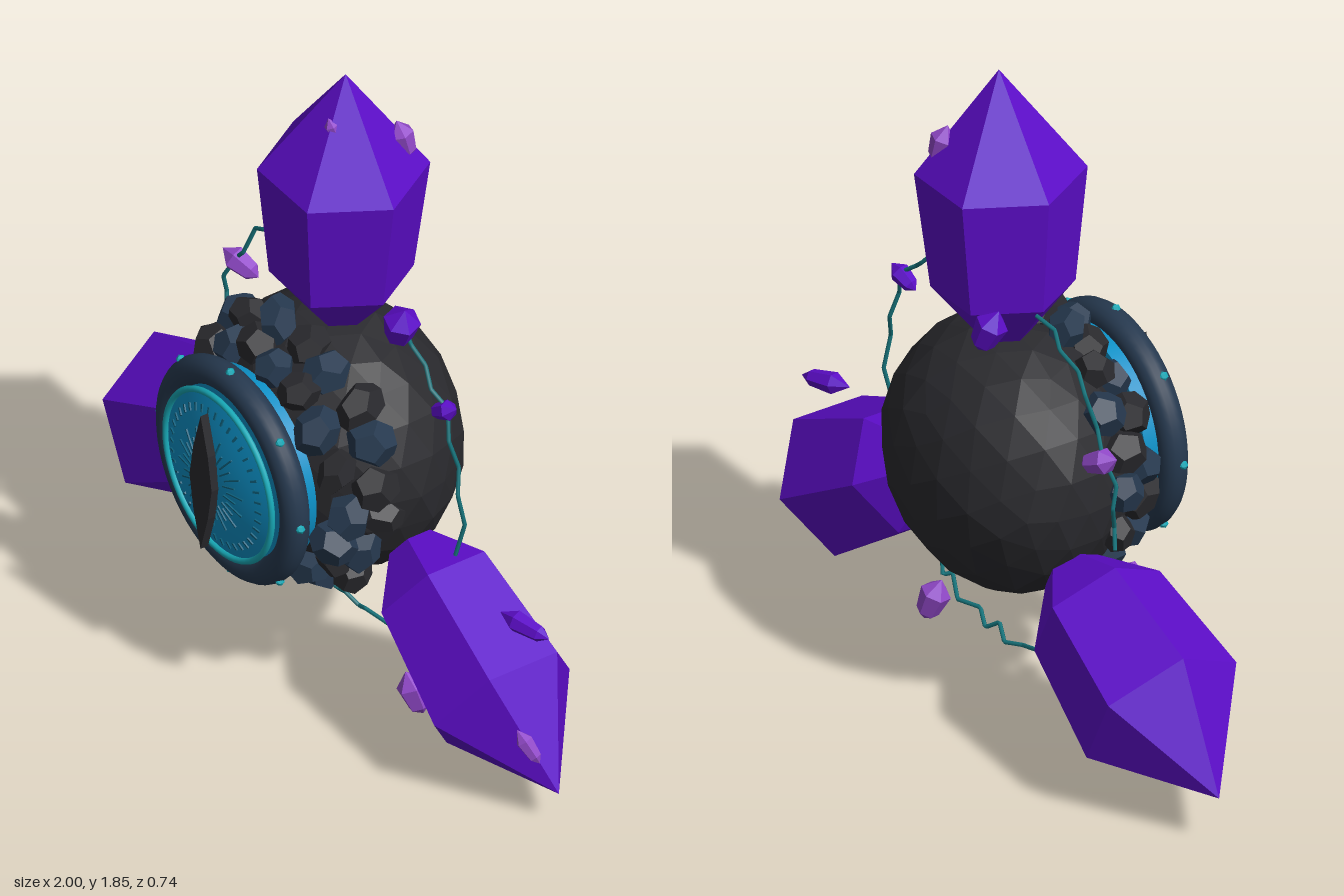
import * as THREE from 'three';

const material = (name, color) => Object.assign(new THREE.MeshStandardMaterial({ color }), { name });

// Seeded random numbers for the rubble
let seed = 7;
const rand = (a, b) => {
  seed = (seed * 16807) % 2147483647;
  return a + (b - a) * (seed / 2147483647);
};

// Faceted normals
function flat(geometry) {
  const g = geometry.index ? geometry.toNonIndexed() : geometry;
  g.computeVertexNormals();
  return g;
}

// Profile given as [radius, y] pairs from bottom to top
const lathe = (points, sides) =>
  new THREE.LatheGeometry(points.map(([r, y]) => new THREE.Vector2(r, y)), sides);

export function createModel() {
  const model = new THREE.Group();
  model.name = 'crystalEyeOrb';

  const stone = material('darkStone', 0x2a2a2e);
  const navy = material('navyMetal', 0x26394f);
  const blue = material('irisBlue', 0x0c90c6);
  const cyan = material('cyanTrim', 0x18aab8);
  const tickTeal = material('irisMarks', 0x0d607c);
  const arcTeal = material('arcTeal', 0x17777f);
  const purple = material('purpleCrystal', 0x5c0dc8);
  const lilac = material('lilacCrystal', 0x9149c9);

  const add = (name, geometry, mat, parent = model) => {
    const mesh = new THREE.Mesh(geometry, mat);
    mesh.name = name;
    parent.add(mesh);
    return mesh;
  };

  // Faceted stone core
  const core = new THREE.IcosahedronGeometry(1, 3);
  const p = core.attributes.position;
  for (let i = 0; i < p.count; i++) {
    const x = p.getX(i), y = p.getY(i), z = p.getZ(i);
    const k = 1 + 0.018 * Math.sin(9 * x + 4 * y) * Math.cos(8 * y - 7 * z);
    p.setXYZ(i, x * k * 0.385, y * k * 0.38, z * k * 0.307);
  }
  add('core', flat(core), stone).position.set(0.005, 0.71, -0.065);

  // Rubble collar around the front half
  const rubble = new THREE.Group();
  rubble.name = 'rubbleCollar';
  model.add(rubble);
  const collar = [
    { count: 17, radius: 0.305, z: 0.14, size: 0.068 },
    { count: 19, radius: 0.35, z: 0.06, size: 0.07 },
  ];
  collar.forEach(({ count, radius, z, size }, row) => {
    for (let i = 0; i < count; i++) {
      const a = ((i + row * 0.5) / count) * Math.PI * 2 + rand(-0.06, 0.06);
      const r = radius + rand(-0.015, 0.02);
      const isNavy = (i + row) % 2 === 0;
      const rock = add('rock', flat(new THREE.DodecahedronGeometry(size)), isNavy ? navy : stone, rubble);
      rock.position.set(0.01 + r * Math.cos(a), 0.71 + r * Math.sin(a), z + rand(-0.03, 0.02));
      rock.rotation.set(rand(0, 3), rand(0, 3), rand(0, 3));
      rock.scale.set(rand(0.8, 1.1), rand(0.75, 1.1), rand(0.7, 1));
    }
  });

  // Eye: housing, rim, lens and trim
  const eye = new THREE.Group();
  eye.name = 'eye';
  eye.position.set(0.01, 0.71, 0);
  model.add(eye);
  const facing = (g) => g.rotateX(Math.PI / 2);
  add('housing', facing(new THREE.CylinderGeometry(0.27, 0.27, 0.09, 48)), blue, eye).position.z = 0.235;
  add('rim', new THREE.TorusGeometry(0.28, 0.04, 16, 56), navy, eye).position.z = 0.267;
  const lensZ = (r) => 0.35 - 0.75 * r * r;
  const lensProfile = [0.245, 0.21, 0.17, 0.13, 0.09, 0.045, 0].map((r) => [r, lensZ(r)]);
  add('lens', facing(lathe(lensProfile, 48)), blue, eye);
  add('trimRing', new THREE.TorusGeometry(0.24, 0.009, 8, 56), cyan, eye).position.z = 0.312;

  // Studs around the rim
  for (let i = 0; i < 8; i++) {
    const a = (i * Math.PI) / 4;
    add('stud', flat(new THREE.OctahedronGeometry(0.013, 1)), cyan, eye)
      .position.set(0.317 * Math.cos(a), 0.317 * Math.sin(a), 0.275);
  }

  // Radial marks lying on the lens
  const mark = (a, r, length, width) => {
    const g = new THREE.BoxGeometry(length, width, 0.006);
    g.rotateY(Math.atan(1.5 * r)).translate(r, 0, lensZ(r) + 0.001).rotateZ(a);
    add('irisMark', g, tickTeal, eye);
  };
  for (let i = 0; i < 40; i++) mark((i / 40) * Math.PI * 2, 0.195, 0.022, 0.006);
  for (let i = 0; i < 32; i++) {
    mark(((i + 0.5) / 32) * Math.PI * 2, i % 2 ? 0.095 : 0.115, i % 2 ? 0.045 : 0.06, 0.004);
  }

  // Slit pupil
  const slit = new THREE.Shape();
  slit.moveTo(0, -0.215);
  [[0.033, -0.1], [0.05, 0], [0.033, 0.1], [0, 0.215], [-0.033, 0.1], [-0.05, 0], [-0.033, -0.1]]
    .forEach(([x, y]) => slit.lineTo(x, y));
  add('pupil', new THREE.ExtrudeGeometry(slit, { depth: 0.024, bevelEnabled: false }), stone, eye)
    .position.z = 0.346;

  // Large crystals: tip position, direction, twist and girth
  const up = new THREE.Vector3(0, 1, 0);
  const spikes = [
    ['topCrystal', [0.035, 1.86], [0.03, 1], Math.PI / 6, 1],
    ['rightCrystal', [-1, 0.16], [-0.89, -0.44], Math.PI / 6, 1.02],
    ['leftCrystal', [1, 0.11], [0.853, -0.52], 0, 0.95],
  ];
  for (const [name, tip, dir, twist, girth] of spikes) {
    const g = lathe([[0, -0.78], [0.075, -0.78], [0.19, -0.64], [0.227, -0.302], [0, 0]], 6);
    g.rotateY(twist).scale(girth, 1, girth);
    const spike = add(name, flat(g), purple);
    spike.position.set(tip[0], tip[1], -0.075);
    spike.quaternion.setFromUnitVectors(up, new THREE.Vector3(dir[0], dir[1], 0).normalize());
  }

  // Small shards: x, y, z, half length, radius, lean
  const shards = [
    [purple, 0.335, 1.24, -0.04, 0.068, 0.05, -0.35],
    [purple, 0.46, 1.02, -0.09, 0.05, 0.028, -1.1],
    [purple, 0.81, 0.53, -0.1, 0.08, 0.03, 1.4],
    [purple, -0.15, 1.21, -0.23, 0.07, 0.045, 0.35],
    [lilac, 0.375, 0.07, -0.055, 0.067, 0.042, 0.3],
    [lilac, 0.94, 0.25, -0.02, 0.055, 0.024, 0.6],
    [lilac, -0.36, 0.48, 0.07, 0.045, 0.028, 1.1],
    [lilac, -0.475, 0.93, -0.1, 0.062, 0.036, 1.1],
    [lilac, 0.11, 1.64, -0.205, 0.06, 0.035, 0.2],
    [lilac, 0.07, 1.73, -0.01, 0.035, 0.02, 0.3],
  ];
  for (const [mat, x, y, z, h, r, lean] of shards) {
    const g = lathe([[0, -h], [r * 0.75, -h * 0.6], [r, h * 0.35], [0, h]], 6);
    const shard = add('shard', flat(g), mat);
    shard.position.set(x, y, z);
    shard.rotation.set(0.15, 0.3, lean);
  }

  // Jagged energy arcs floating around the core
  const arcs = [
    [[-0.17, 1.22], [-0.23, 1.2], [-0.28, 1.17], [-0.34, 1.13], [-0.4, 1.09], [-0.43, 1.0], [-0.48, 0.95],
      [-0.52, 0.87], [-0.53, 0.81], [-0.51, 0.74], [-0.54, 0.69]],
    [[0.27, 1.18], [0.33, 1.16], [0.37, 1.11], [0.42, 1.07], [0.47, 1.03], [0.5, 0.95], [0.52, 0.87],
      [0.54, 0.8], [0.547, 0.7], [0.53, 0.6]],
    [[-0.35, 0.28], [-0.27, 0.25], [-0.2, 0.21], [-0.08, 0.165], [-0.02, 0.15], [0.03, 0.18], [0.07, 0.15],
      [0.12, 0.18], [0.2, 0.17], [0.25, 0.22], [0.27, 0.21], [0.3, 0.25]],
  ];
  for (const points of arcs) {
    const path = new THREE.CurvePath();
    const v = points.map(([x, y], i) => new THREE.Vector3(x, y, -0.085 + (i % 2 ? 0.009 : -0.009)));
    for (let i = 1; i < v.length; i++) path.add(new THREE.LineCurve3(v[i - 1], v[i]));
    add('energyArc', new THREE.TubeGeometry(path, 90, 0.006, 5), arcTeal);
  }

  return model;
}
